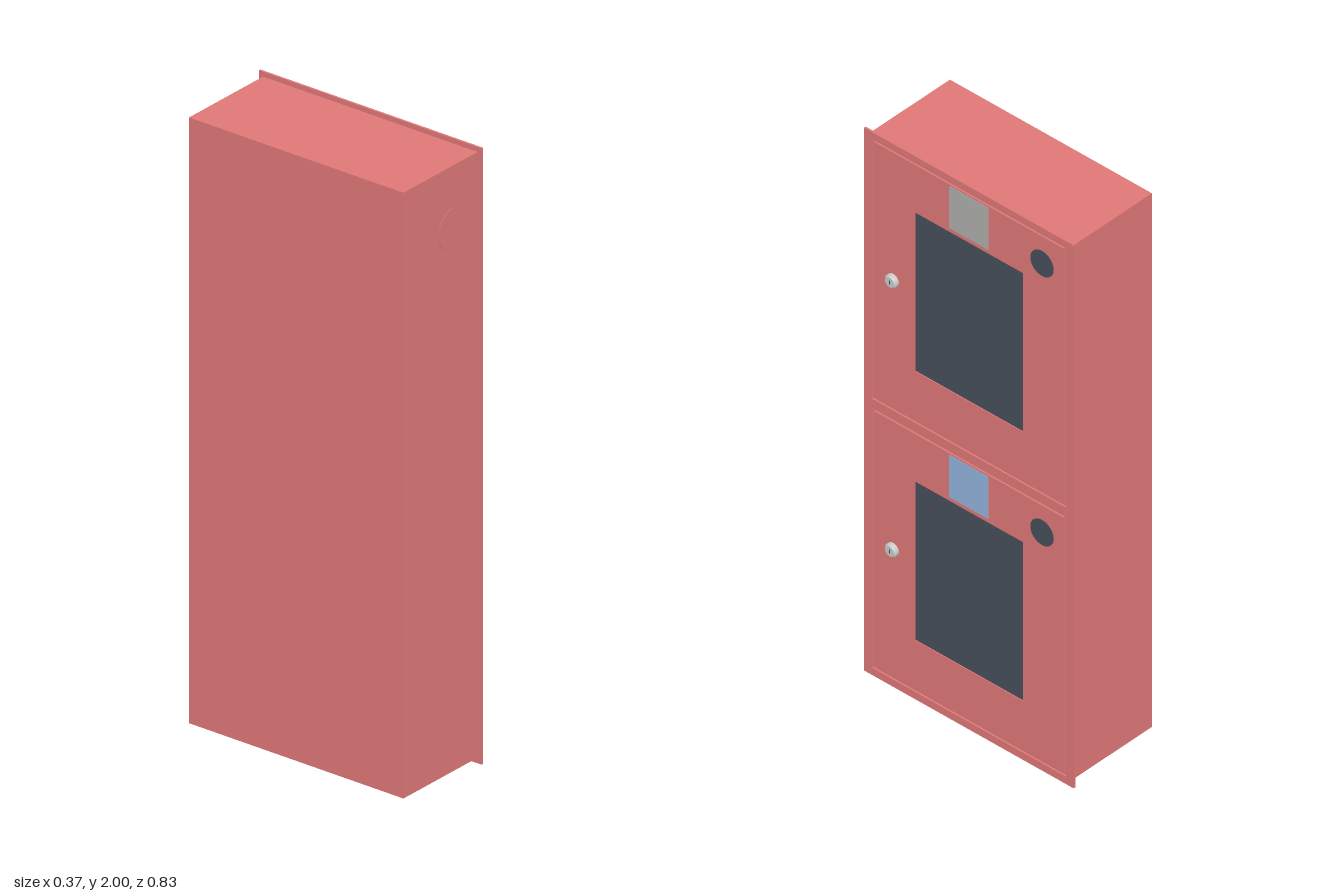
import * as THREE from 'three';

const mat = (color) => new THREE.MeshStandardMaterial({ color });
const red = mat(0xe07878), slate = mat(0x46505c), steel = mat(0xcccccc);
const blue = mat(0x93b5dd), paleGrey = mat(0xb0b0ae);

// Rectangle outline; u runs to the door's right (-z), v is up
function rect(Type, u0, u1, v0, v1) {
  const s = new Type();
  s.moveTo(u0, v0);
  s.lineTo(u1, v0);
  s.lineTo(u1, v1);
  s.lineTo(u0, v1);
  s.closePath();
  return s;
}

function add(parent, name, geometry, material, x = 0, y = 0, z = 0) {
  const mesh = new THREE.Mesh(geometry, material);
  mesh.name = name;
  mesh.position.set(x, y, z);
  parent.add(mesh);
  return mesh;
}

// Upright sheet from x0 to x1, facing +x
function sheet(parent, name, shape, x0, x1, material) {
  const g = new THREE.ExtrudeGeometry(shape, { depth: x1 - x0, bevelEnabled: false, curveSegments: 32 });
  g.rotateY(Math.PI / 2);
  return add(parent, name, g, material, x0);
}

const FACE = 0.168;

// One door, with its bottom edge at v = 0
function makeDoor(labelMaterial) {
  const door = new THREE.Group();
  const panel = rect(THREE.Shape, -0.376, 0.376, 0, 0.942);
  panel.holes.push(rect(THREE.Path, -0.215, 0.215, 0.182, 0.767));
  sheet(door, 'doorPanel', panel, 0.162, FACE, red);
  sheet(door, 'window', rect(THREE.Shape, -0.216, 0.216, 0.181, 0.768), 0.162, 0.165, slate);
  sheet(door, 'label', rect(THREE.Shape, -0.077, 0.077, 0.781, 0.937), FACE - 0.002, FACE + 0.001, labelMaterial);

  // Round dark badge
  const disc = new THREE.CylinderGeometry(0.046, 0.046, 0.003, 32).rotateZ(-Math.PI / 2);
  add(door, 'roundBadge', disc, slate, FACE - 0.0005, 0.843, -0.29);

  // Chamfered lock with a key slot
  const profile = [[0.023, 0], [0.023, 0.011], [0.018, 0.016], [0, 0.016]].map(([r, h]) => new THREE.Vector2(r, h));
  const lock = new THREE.LatheGeometry(profile, 24).toNonIndexed().rotateZ(-Math.PI / 2);
  lock.computeVertexNormals();
  add(door, 'lock', lock, steel, FACE, 0.473, 0.3);
  add(door, 'keySlot', new THREE.BoxGeometry(0.001, 0.014, 0.004), slate, FACE + 0.016, 0.473, 0.3);
  return door;
}

export function createModel() {
  const model = new THREE.Group();
  model.name = 'twinDoorCabinet';

  // Cabinet body
  add(model, 'body', new THREE.BoxGeometry(0.347, 1.966, 0.8), red, -0.0115, 1.001, 0);

  // Front frame with two door openings
  const frame = rect(THREE.Shape, -0.415, 0.415, 0, 2);
  const bottoms = [0.027, 1.018];
  for (const b of bottoms) frame.holes.push(rect(THREE.Path, -0.384, 0.384, b, b + 0.958));
  sheet(model, 'frontFrame', frame, 0.161, FACE, red);

  // Doors
  bottoms.forEach((b, i) => {
    const door = makeDoor(i ? paleGrey : blue);
    door.name = i ? 'upperDoor' : 'lowerDoor';
    door.position.y = b + 0.008;
    model.add(door);
  });

  // Knock-out disc on the side wall
  const knockOut = new THREE.CylinderGeometry(0.068, 0.068, 0.003, 32).rotateX(Math.PI / 2);
  add(model, 'knockOut', knockOut, red, 0.046, 1.78, 0.4);

  return model;
}
